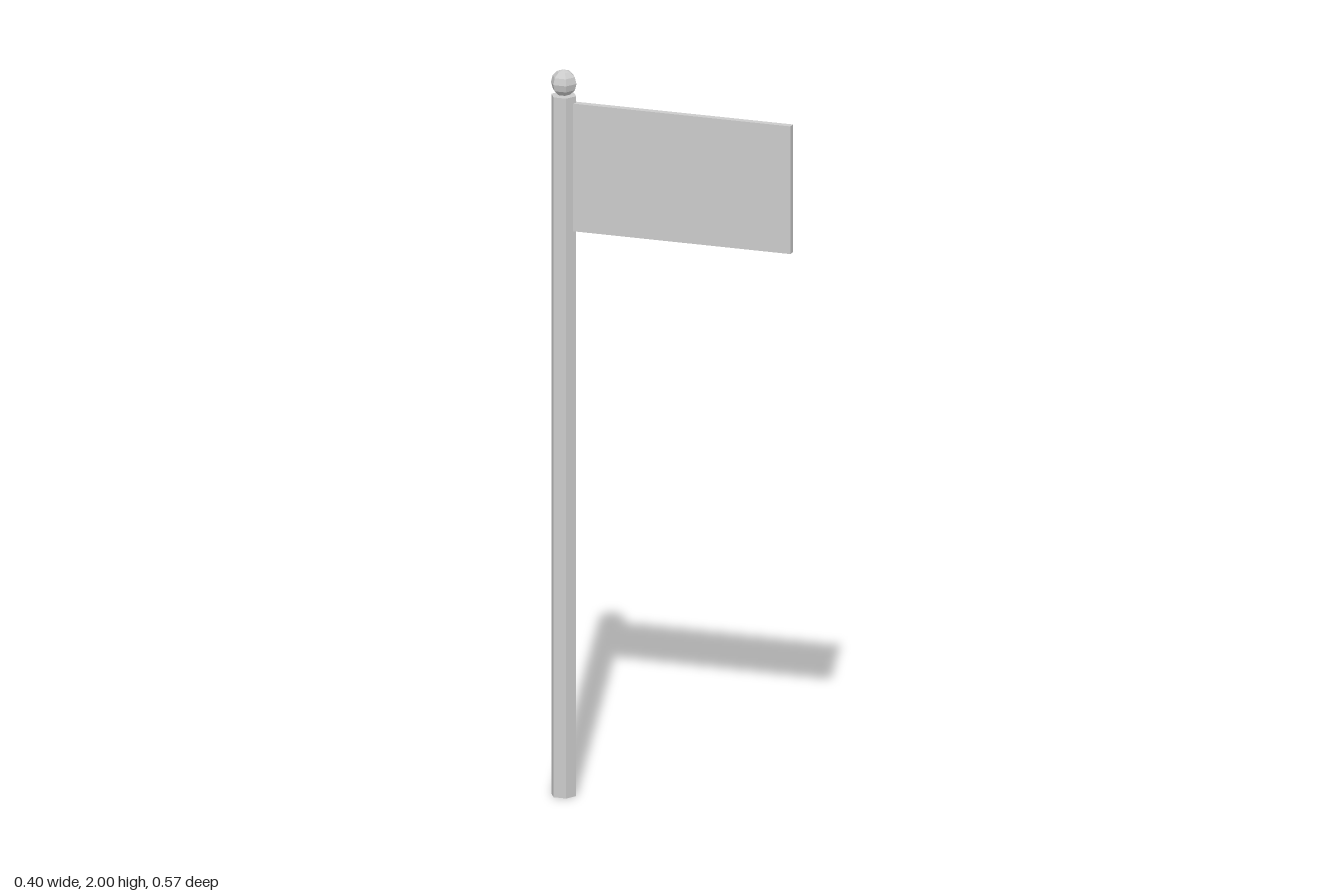
import * as THREE from 'three';

export function createModel() {
  const model = new THREE.Group();
  model.name = 'flagpole';
  const material = new THREE.MeshStandardMaterial({ color: 0xcccccc, flatShading: true });

  const add = (name, geometry, x, y) => {
    const mesh = new THREE.Mesh(geometry, material);
    mesh.name = name;
    mesh.position.set(x, y, 0);
    model.add(mesh);
  };

  // Six-sided pole with a corner facing the flag
  const poleHeight = 1.93;
  const pole = new THREE.CylinderGeometry(0.035, 0.035, poleHeight, 6).rotateY(Math.PI / 6);
  add('pole', pole, 0, poleHeight / 2);

  // Low-poly ball on top
  const ballRadius = 0.036;
  add('finial', new THREE.SphereGeometry(ballRadius, 6, 6), 0, 2 - ballRadius);

  // Stiff flag panel extending from the pole
  const start = 0.026, end = 0.642, bottom = 1.56, top = 1.912;
  add('flag', new THREE.BoxGeometry(end - start, top - bottom, 0.02),
    (start + end) / 2, (bottom + top) / 2);

  // Swing the flag towards the front left and centre the whole
  model.rotation.y = THREE.MathUtils.degToRad(-56.7);
  model.position.set(-0.163, 0, -0.256);

  const root = new THREE.Group();
  root.add(model);
  return root;
}
